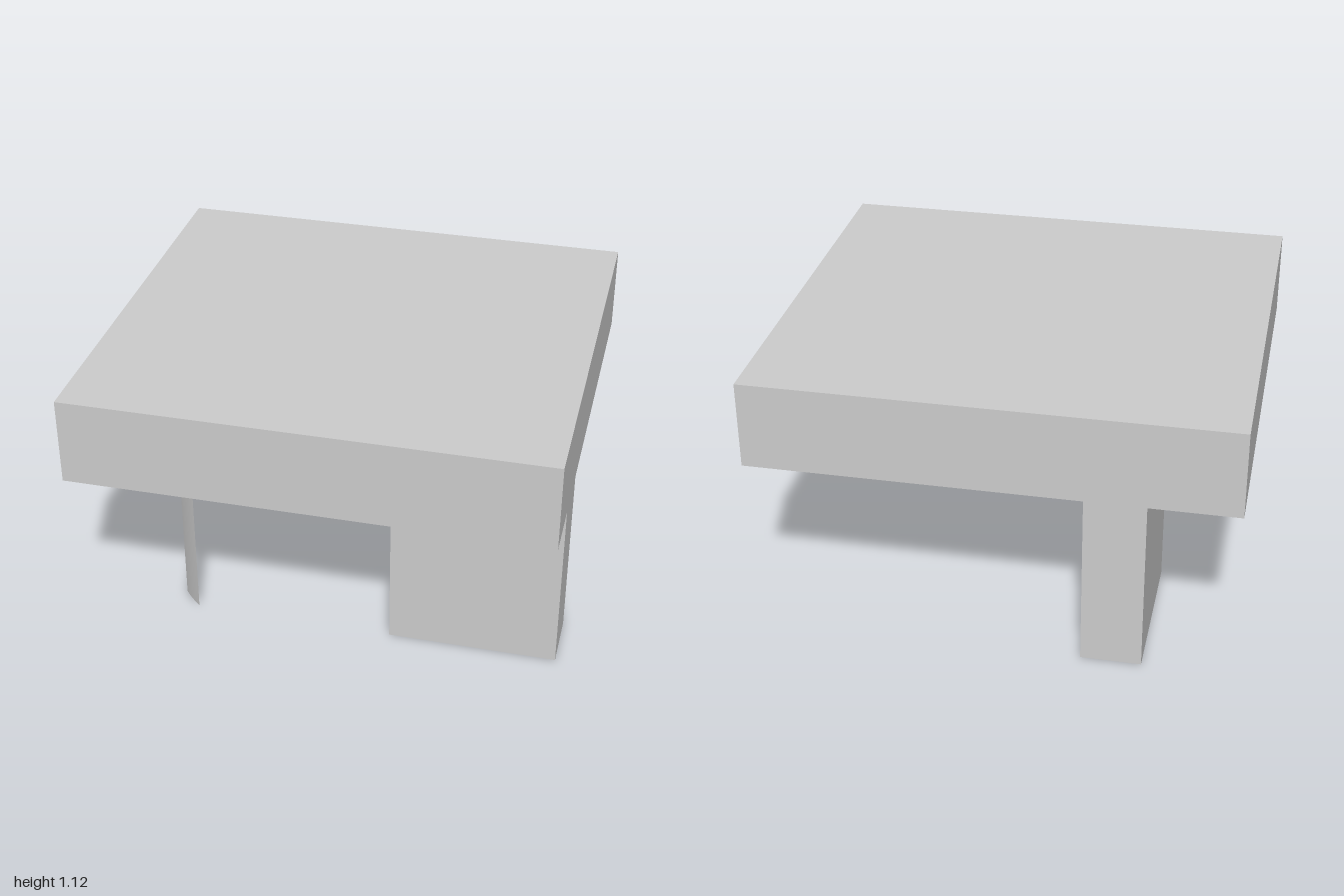
import * as THREE from 'three';
import { toCreasedNormals, mergeGeometries } from 'three/addons/utils/BufferGeometryUtils.js';

const LEG_H = 0.755, TOP = 1.125, HALF_D = 0.91;
const CX = -0.127, CZ = 0.155;          // axis shared by the round cut and the socket
const CUT_R = 0.65, SOCKET_R = 0.278, SOCKET_H = 0.295;

// Leg drawn in plan (x, z): straight corners, closed by an arc of the round cut
function legGeometry(corners, from, to) {
  const shape = new THREE.Shape();
  corners.forEach(([x, z], i) => (i ? shape.lineTo(x, z) : shape.moveTo(x, z)));
  const angle = ([x, z]) => Math.atan2(z - CZ, x - CX);
  shape.absarc(CX, CZ, CUT_R, angle(from), angle(to), false);
  shape.closePath();
  const geo = new THREE.ExtrudeGeometry(shape, { depth: LEG_H, bevelEnabled: false, curveSegments: 24 });
  geo.rotateX(Math.PI / 2).translate(0, LEG_H, 0);
  return toCreasedNormals(geo, 0.5);
}

// Slab: box without its bottom, an underside with a round opening, and a blind socket
function slabGeometry() {
  const box = new THREE.BoxGeometry(2, TOP - LEG_H, HALF_D * 2);
  box.translate(0, (TOP + LEG_H) / 2, 0);
  box.setIndex(Array.from(box.index.array).filter((_, i) => i < 18 || i >= 24));

  const plan = new THREE.Shape([[-1, -HALF_D], [1, -HALF_D], [1, HALF_D], [-1, HALF_D]]
    .map(([x, z]) => new THREE.Vector2(x, z)));
  plan.holes.push(new THREE.Path().absarc(CX, CZ, SOCKET_R, 0, Math.PI * 2, true));
  const underside = new THREE.ShapeGeometry(plan, 32).rotateX(Math.PI / 2).translate(0, LEG_H, 0);

  // profile runs downward so the wall faces inward
  const wall = new THREE.LatheGeometry(
    [new THREE.Vector2(SOCKET_R, SOCKET_H), new THREE.Vector2(SOCKET_R, 0)], 64);
  wall.translate(CX, LEG_H, CZ);
  const ceiling = new THREE.CircleGeometry(SOCKET_R, 64).rotateX(Math.PI / 2);
  ceiling.translate(CX, LEG_H + SOCKET_H, CZ);

  return mergeGeometries([box, underside, wall, ceiling].map((g) => g.toNonIndexed()));
}

export function createModel() {
  const group = new THREE.Group();
  const grey = new THREE.MeshStandardMaterial({ color: 0xcccccc });
  grey.name = 'light grey';
  const add = (name, geometry) => {
    const mesh = new THREE.Mesh(geometry, grey);
    mesh.name = name;
    group.add(mesh);
  };

  add('slab', slabGeometry());

  // points where the leg strips meet the round cut
  const zAt = (x) => Math.sqrt(CUT_R ** 2 - (x - CX) ** 2);
  const xAt = (z) => Math.sqrt(CUT_R ** 2 - (z - CZ) ** 2);
  const X0 = -0.63, X1 = -0.38, Z0 = 0.4, Z1 = 0.65;

  add('sideLeg', legGeometry([[1, Z1], [1, Z0]],
    [CX + xAt(Z0), Z0], [CX + xAt(Z1), Z1]));
  add('backLeg', legGeometry([[X1, -HALF_D], [X0, -HALF_D]],
    [X0, CZ - zAt(X0)], [X1, CZ - zAt(X1)]));
  add('cornerPost', legGeometry([[X0, Z1]],
    [CX - xAt(Z1), Z1], [X0, CZ + zAt(X0)]));

  return group;
}
